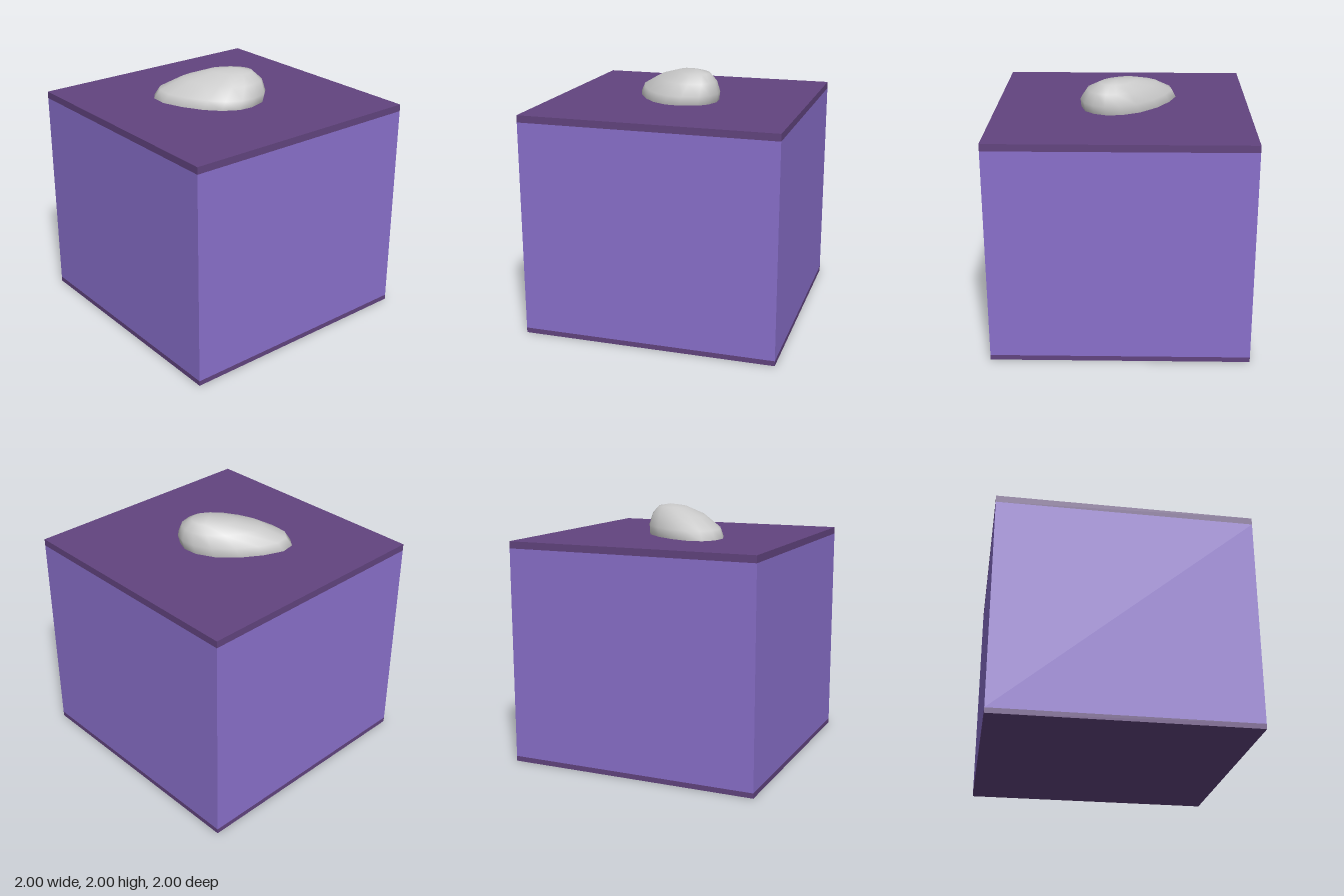
import * as THREE from 'three';

const material = (color) => new THREE.MeshStandardMaterial({ color });

// Horizontal slab of the block between two heights
function slab(name, y0, y1, mat) {
  const mesh = new THREE.Mesh(new THREE.BoxGeometry(2, y1 - y0, 2), mat);
  mesh.position.y = (y0 + y1) / 2;
  mesh.name = name;
  return mesh;
}

// Pebble: one egg-shaped outline (x, z), scaled and shifted level by level up to an apex
function pebbleGeometry() {
  const cx = -0.055, cz = 0.06;
  const outline = [
    [0.12, -0.31], [0.22, -0.27], [0.29, -0.2], [0.33, -0.06],
    [0.32, 0.06], [0.25, 0.18], [0.14, 0.28], [-0.02, 0.37],
    [-0.19, 0.43], [-0.33, 0.42], [-0.42, 0.35], [-0.44, 0.23],
    [-0.38, 0.07], [-0.28, -0.09], [-0.14, -0.23], [0, -0.3],
  ];
  // height, scale, centre x, centre z
  const levels = [
    [1.7, 0.92, -0.055, 0.07],
    [1.76, 0.985, -0.055, 0.065],
    [1.83, 0.95, -0.036, 0.04],
    [1.92, 0.71, 0, -0.025],
    [1.98, 0.38, 0.025, -0.09],
  ];
  const n = outline.length;
  const positions = [], indices = [];
  for (const [y, s, x0, z0] of levels) {
    for (const [x, z] of outline) positions.push(x0 + (x - cx) * s, y, z0 + (z - cz) * s);
  }
  const apex = levels.length * n;
  positions.push(0.04, 2, -0.12);
  for (let k = 0; k < levels.length; k++) {
    for (let i = 0; i < n; i++) {
      const a = k * n + i, b = k * n + (i + 1) % n;
      if (k === levels.length - 1) indices.push(a, apex, b);
      else indices.push(a, a + n, b + n, a, b + n, b);
    }
  }
  const geometry = new THREE.BufferGeometry();
  geometry.setAttribute('position', new THREE.Float32BufferAttribute(positions, 3));
  geometry.setIndex(indices);
  geometry.computeVertexNormals();
  return geometry;
}

export function createModel() {
  const group = new THREE.Group();
  group.name = 'blockWithPebble';

  // Block with dark flush plates above and below
  const dark = material(0x62447f);
  group.add(
    slab('bottomPlate', 0, 0.04, dark),
    slab('body', 0.04, 1.705, material(0x8a70cc)),
    slab('topPlate', 1.705, 1.76, dark),
  );

  // Smooth pebble set into the top
  const pebble = new THREE.Mesh(pebbleGeometry(), material(0xcccccc));
  pebble.name = 'pebble';
  group.add(pebble);
  return group;
}
